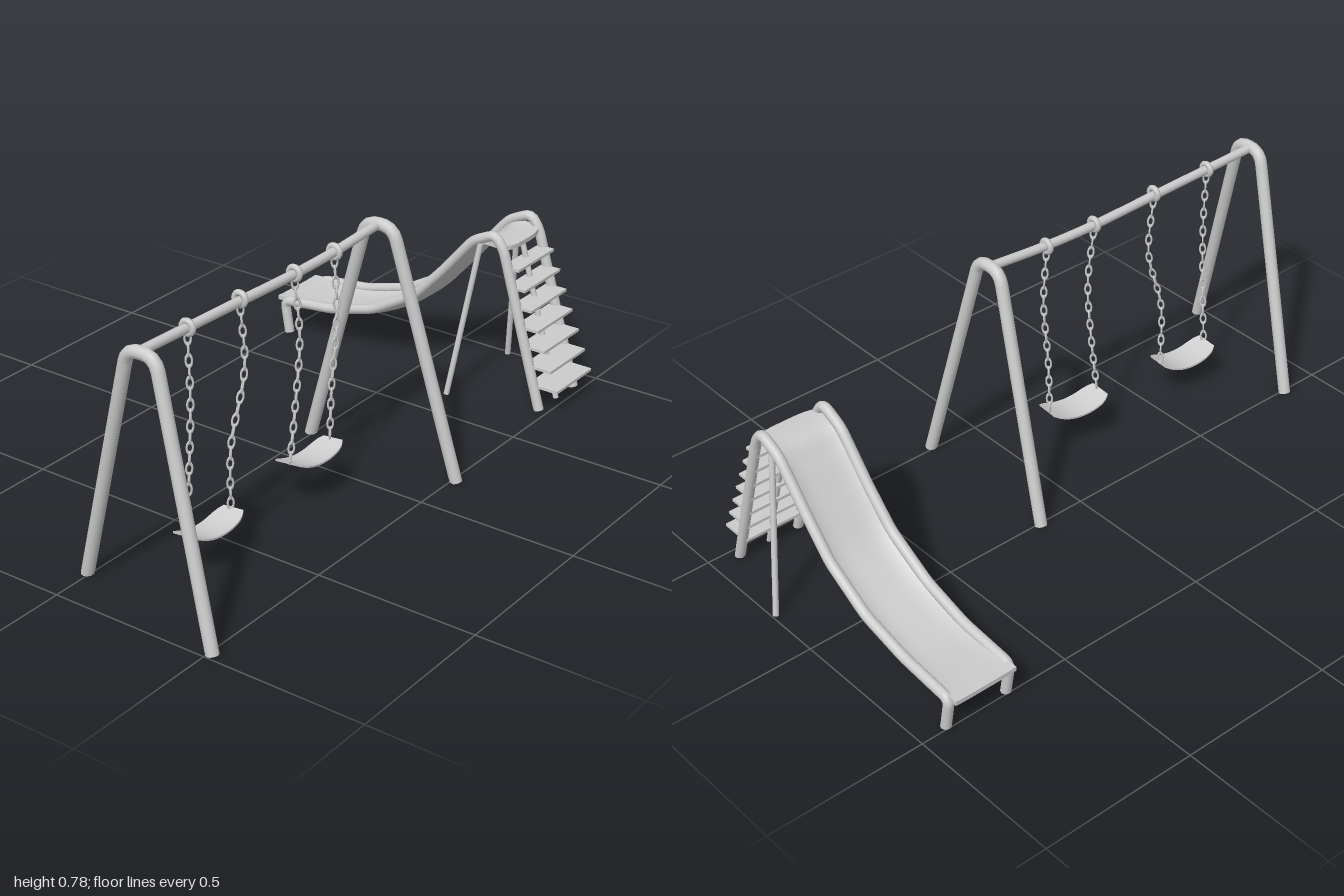
import * as THREE from 'three';

const V = (x, y, z) => new THREE.Vector3(x, y, z);
const grey = new THREE.MeshStandardMaterial({ color: 0xcccccc, side: THREE.DoubleSide });

function add(parent, name, geometry) {
  const mesh = new THREE.Mesh(geometry, grey);
  mesh.name = name;
  parent.add(mesh);
  return mesh;
}

// Straight runs joined by rounded corners
function bentPath(points, bend) {
  const path = new THREE.CurvePath();
  let from = points[0];
  for (let i = 1; i < points.length - 1; i++) {
    const p = points[i];
    const toward = (q) => p.clone().add(
      q.clone().sub(p).setLength(Math.min(bend, p.distanceTo(q) * 0.45)));
    const a = toward(points[i - 1]), b = toward(points[i + 1]);
    path.add(new THREE.LineCurve3(from, a));
    path.add(new THREE.QuadraticBezierCurve3(a, p, b));
    from = b;
  }
  path.add(new THREE.LineCurve3(from, points[points.length - 1]));
  return path;
}

// Round pipe with closed ends, trimmed level with the ground
function pipe(parent, name, curve, radius, segments = 60) {
  const group = new THREE.Group();
  group.name = name;
  parent.add(group);
  const trim = (geometry) => {
    const p = geometry.attributes.position;
    for (let i = 0; i < p.count; i++) p.setY(i, Math.max(0, p.getY(i)));
    return geometry;
  };
  add(group, name + 'Tube', trim(new THREE.TubeGeometry(curve, segments, radius, 12)));
  for (const t of [0, 1]) {
    const cap = new THREE.CircleGeometry(radius, 12);
    const out = curve.getTangentAt(t).multiplyScalar(t ? 1 : -1);
    cap.applyQuaternion(new THREE.Quaternion().setFromUnitVectors(V(0, 0, 1), out));
    const c = curve.getPointAt(t);
    add(group, name + 'Cap', trim(cap.translate(c.x, c.y, c.z)));
  }
}

// A thin curved slab: surface(u, v) gives the middle, thickened vertically
function slab(surface, nu, nv, thickness) {
  const geometry = new THREE.BoxGeometry(1, thickness, 1, nu, 1, nv);
  const p = geometry.attributes.position;
  for (let i = 0; i < p.count; i++) {
    const s = surface(p.getX(i) + 0.5, p.getZ(i) * 2);
    p.setXYZ(i, s.x, s.y + p.getY(i), s.z);
  }
  geometry.computeVertexNormals();
  return geometry;
}

function chain(parent, points) {
  const group = new THREE.Group();
  group.name = 'chain';
  parent.add(group);
  const curve = new THREE.CatmullRomCurve3(points);
  const count = Math.round(curve.getLength() / 0.032);
  for (let i = 0; i < count; i++) {
    const t = (i + 0.5) / count;
    const link = add(group, 'chainLink', new THREE.TorusGeometry(0.0085, 0.003, 6, 12).scale(1, 2, 1));
    link.position.copy(curve.getPointAt(t));
    const turn = new THREE.Quaternion().setFromAxisAngle(V(0, 1, 0), Math.PI / 4 + (i % 2) * Math.PI / 2);
    link.quaternion.setFromUnitVectors(V(0, -1, 0), curve.getTangentAt(t)).multiply(turn);
  }
}

function createSwingSet() {
  const set = new THREE.Group();
  set.name = 'swingSet';

  // Bent end frames: foot z, top z, foot z
  for (const [zLeft, zTop, zRight] of [[0.865, 0.928, 0.98], [-0.163, -0.118, -0.163]]) {
    pipe(set, 'endFrame', bentPath([
      V(-0.008, 0, zLeft), V(0.213, 0.762, zTop), V(0.304, 0.762, zTop), V(0.513, 0, zRight),
    ], 0.04), 0.019, 90);
  }

  // Top bar, sagging slightly
  const bar = new THREE.CatmullRomCurve3([
    V(0.255, 0.762, -0.12), V(0.252, 0.748, 0.08), V(0.25, 0.744, 0.25),
    V(0.25, 0.752, 0.55), V(0.25, 0.762, 0.928)]);
  pipe(set, 'topBar', bar, 0.014, 24);

  // Swings: hanging points of both chains and the seat between
  const swings = [
    { zs: [[0.735, 0.733, 0.732, 0.733], [0.515, 0.503, 0.552, 0.543]], y: 0.138, sag: 0.03, x: 0.234, skew: 0.01 },
    { zs: [[0.275, 0.255, 0.262, 0.278], [0.09, 0.08, 0.088, 0.086]], y: 0.162, sag: 0.028, x: 0.238, skew: 0.012 },
  ];
  for (const { zs, y, sag, x, skew } of swings) {
    const swing = new THREE.Group();
    swing.name = 'swing';
    set.add(swing);
    for (const z of zs) {
      const top = z[0] > 0.4 ? 0.758 : 0.747;
      const clamp = add(swing, 'barClamp', new THREE.TorusGeometry(0.018, 0.009, 8, 18));
      clamp.position.set(0.25, top, z[0]);
      chain(swing, [
        V(0.25, top - 0.015, z[0]), V(0.254, 0.55, z[1]), V(0.245, 0.34, z[2]), V(x, y, z[3])]);
    }
    const z0 = zs[1][3], z1 = zs[0][3];
    add(swing, 'seat', slab((u, v) => {
      const width = 0.096 * (1 - 0.3 * v ** 6);
      return V(x - 0.002 + (u - 0.5) * width - skew * v,
        y - sag * (1 - v * v) + 0.006 * (u - 0.5),
        (z0 + z1) / 2 + v * (z1 - z0 + 0.006) / 2);
    }, 6, 14, 0.006));
  }
  return set;
}

function createSlide() {
  const slide = new THREE.Group();
  slide.name = 'slide';
  slide.position.z = -0.806;
  const half = 0.104;

  // Side rails: front foot, chute edge, crest, ladder stringer
  for (const side of [-1, 1]) {
    const z = side * half;
    pipe(slide, 'sideRail', bentPath([
      V(-0.488, 0, z), V(-0.507, 0.108, z), V(-0.315, 0.128, z), V(-0.155, 0.172, z * 1.02),
      V(0, 0.262, z * 1.01), V(0.1, 0.37, z), V(0.21, 0.503, z), V(0.287, 0.54, z),
      V(0.318, 0.498, z), V(0.468, 0, z),
    ], 0.025), 0.016, 130);
    // Splayed support leg
    pipe(slide, 'supportLeg', new THREE.LineCurve3(
      V(0.18, 0, side * 0.182), V(0.238, 0.5, side * 0.108)), 0.009, 1);
  }
  // Thin middle stringer of the ladder
  pipe(slide, 'middleStringer', new THREE.LineCurve3(V(0.468, 0, 0), V(0.322, 0.49, 0)), 0.009, 1);

  // Chute and platform: centre line with the dip below the rails (in z)
  const line = new THREE.CatmullRomCurve3([
    V(-0.535, 0.111, 0.002), V(-0.46, 0.114, 0.006), V(-0.315, 0.125, 0.016), V(-0.155, 0.17, 0.022),
    V(0, 0.26, 0.026), V(0.1, 0.368, 0.028), V(0.19, 0.472, 0.026), V(0.235, 0.504, 0.014),
    V(0.28, 0.505, 0.006), V(0.335, 0.502, 0.004)]);
  add(slide, 'chute', slab((u, v) => {
    const p = line.getPoint(u);
    const roundEnd = u > 0.95 ? 0.02 * v ** 4 * (u - 0.95) / 0.05 : 0;
    return V(p.x - roundEnd, p.y - p.z * (1 - v ** 4), v * half);
  }, 48, 12, 0.014));

  // Ladder treads, deeper towards the ground
  for (let i = 0; i < 7; i++) {
    const y = 0.075 + i * 0.061;
    const inner = 0.45 - 0.3 * y, outer = 0.53 - (y - 0.075) * 0.425;
    const tread = add(slide, 'tread', new THREE.BoxGeometry(outer - inner, 0.009, half * 2));
    tread.position.set((inner + outer) / 2, y, 0);
  }
  return slide;
}

export function createModel() {
  const model = new THREE.Group();
  model.name = 'playground';
  model.add(createSwingSet(), createSlide());
  return model;
}
